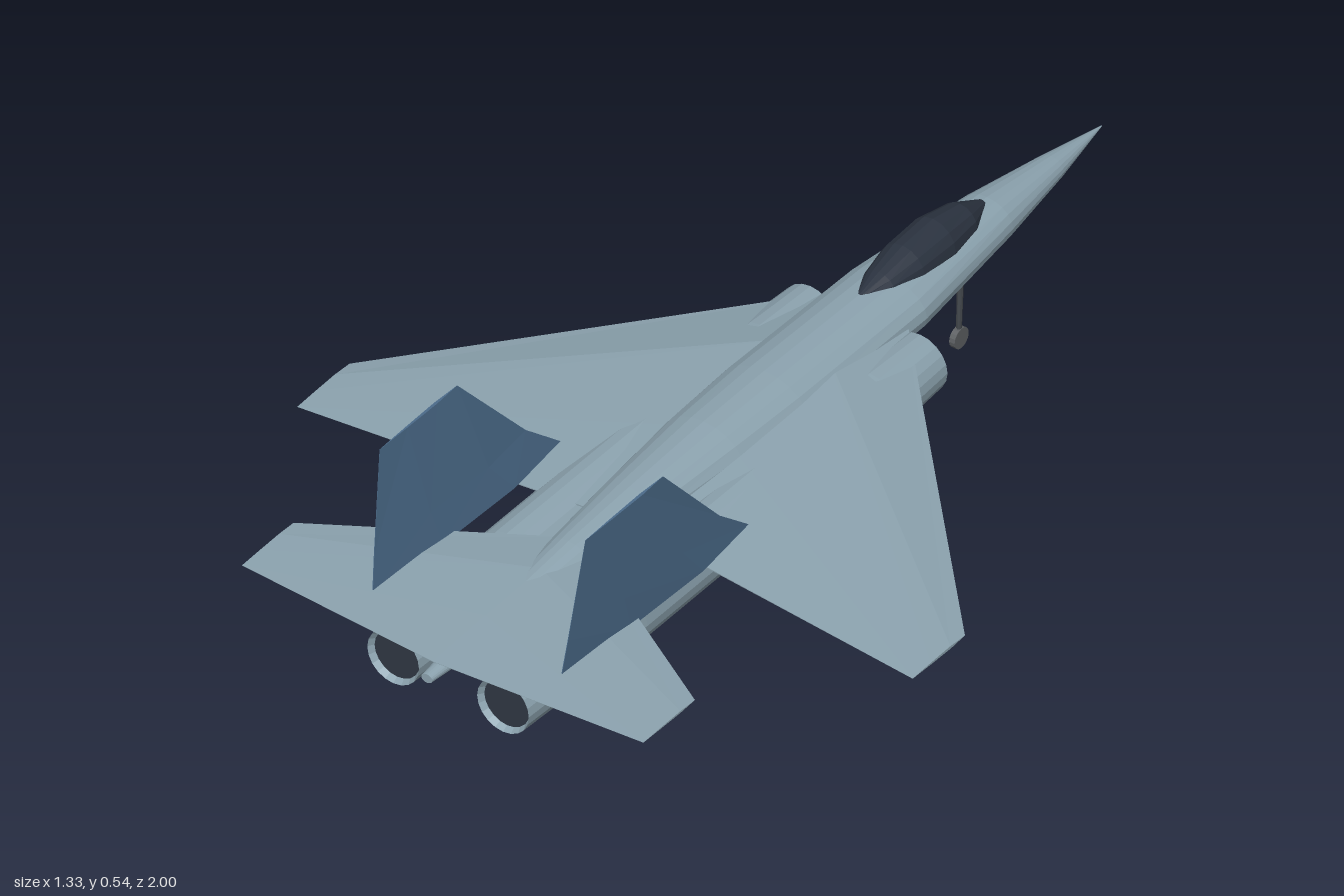
import * as THREE from 'three';

const mat = (name, color, extra = {}) => {
  const m = new THREE.MeshStandardMaterial({ color, flatShading: true, ...extra });
  m.name = name;
  return m;
};

// Closed skin through equal-length rings of points, always facing outward.
function loft(rings) {
  const tris = [];
  const n = rings[0].length;
  for (let i = 0; i + 1 < rings.length; i++) {
    for (let j = 0; j < n; j++) {
      const k = (j + 1) % n;
      const [a, b, c, d] = [rings[i][j], rings[i][k], rings[i + 1][k], rings[i + 1][j]];
      tris.push([a, b, c], [a, c, d]);
    }
  }
  const cap = (ring, flip) => {
    const mid = ring.reduce((s, p) => s.add(p), new THREE.Vector3()).divideScalar(n);
    ring.forEach((p, j) => {
      const q = ring[(j + 1) % n];
      tris.push(flip ? [mid, q, p] : [mid, p, q]);
    });
  };
  cap(rings[0], true);
  cap(rings[rings.length - 1], false);
  const volume = tris.reduce((s, [a, b, c]) => s + a.dot(b.clone().cross(c)), 0);
  if (volume < 0) tris.forEach((t) => t.reverse());
  const g = new THREE.BufferGeometry().setFromPoints(tris.flat());
  g.computeVertexNormals();
  return g;
}

// Elliptical ring across the z axis.
function ellipse(z, halfW, cy, halfH, sides) {
  return Array.from({ length: sides }, (_, i) => {
    const a = (i / sides) * Math.PI * 2;
    return new THREE.Vector3(Math.sin(a) * halfW, cy + Math.cos(a) * halfH, z);
  });
}

// Thin aerofoil outline: [fraction of chord, offset in half thicknesses].
const FOIL = [[0, 0], [0.28, 1], [0.65, 0.65], [1, 0.05], [1, -0.05], [0.65, -0.65], [0.28, -1]];

export function createModel() {
  const root = new THREE.Group();
  root.name = 'jetAircraft';
  const hull = mat('hullGrey', 0x8ca3af);
  const skin = mat('engineGrey', 0x8ca3af, { side: THREE.DoubleSide });
  const finBlue = mat('finBlue', 0x4b6b8a);
  const glass = mat('canopyDark', 0x2b3340);
  const dark = mat('nozzleDark', 0x2f3743, { side: THREE.DoubleSide });
  const metal = mat('strutGrey', 0x43474c);
  const tyre = mat('wheelGrey', 0x5c5f62);

  const add = (name, geometry, material, x = 0, y = 0, z = 0) => {
    const m = new THREE.Mesh(geometry, material);
    m.name = name;
    m.position.set(x, y, z);
    root.add(m);
    return m;
  };

  // Fuselage: z, half width, centre height, half height
  const body = [
    [-1, 0.001, 0.23, 0.001], [-0.85, 0.028, 0.232, 0.024], [-0.66, 0.057, 0.237, 0.045],
    [-0.36, 0.09, 0.239, 0.058], [0, 0.093, 0.242, 0.062], [0.18, 0.086, 0.243, 0.06],
    [0.4, 0.068, 0.244, 0.05], [0.58, 0.05, 0.245, 0.04], [1, 0.012, 0.24, 0.009],
  ];
  add('fuselage', loft(body.map((s) => ellipse(...s, 20))), hull);

  // Canopy
  const canopy = [
    [-0.645, 0.01, 0.277, 0.008], [-0.58, 0.038, 0.278, 0.038], [-0.5, 0.05, 0.279, 0.053],
    [-0.41, 0.048, 0.282, 0.046], [-0.34, 0.034, 0.285, 0.028], [-0.28, 0.008, 0.288, 0.01],
  ];
  add('canopy', loft(canopy.map((s) => ellipse(...s, 16))), glass);

  for (const side of [1, -1]) {
    const label = side > 0 ? 'left' : 'right';

    // Flat surfaces: x, y, leading z, trailing z, half thickness
    const panel = (stations) => loft(stations.map(([x, y, z0, z1, t]) =>
      FOIL.map(([f, h]) => new THREE.Vector3(side * x, y + h * t, z0 + f * (z1 - z0)))));
    add(label + 'Wing', panel([
      [0.03, 0.251, -0.37, 0.445, 0.025], [0.667, 0.215, 0.317, 0.472, 0.003],
    ]), hull);
    add(label + 'Tailplane', panel([
      [0, 0.266, 0.537, 0.982, 0.009], [0.435, 0.265, 0.8, 0.953, 0.002],
    ]), hull);

    // Upright fin, same stations with the thickness across x
    const fin = [
      [0.204, 0.257, 0.325, 0.882, 0.016], [0.21, 0.337, 0.42, 0.869, 0.012],
      [0.223, 0.542, 0.605, 0.835, 0.003],
    ];
    add(label + 'Fin', loft(fin.map(([x, y, z0, z1, t]) =>
      FOIL.map(([f, h]) => new THREE.Vector3(side * (x + h * t), y, z0 + f * (z1 - z0))))), finBlue);

    // Engine pod with open intake and a lipped exhaust
    const profile = [[0.059, -0.3], [0.066, -0.15], [0.067, 0.6], [0.056, 0.937], [0.049, 0.925]];
    const pod = new THREE.LatheGeometry(profile.map((p) => new THREE.Vector2(...p)), 20);
    pod.rotateX(Math.PI / 2);
    add(label + 'Engine', pod, skin, side * 0.119, 0.194, 0);
    add(label + 'Exhaust', new THREE.CircleGeometry(0.052, 20), dark, side * 0.119, 0.194, 0.922);
    add(label + 'IntakeFan', new THREE.CircleGeometry(0.064, 20), dark, side * 0.119, 0.194, 0.1);
  }

  // Landing gear: name, x, z, wheel radius, wheel width, strut top
  const gear = [
    ['nose', 0, -0.577, 0.021, 0.012, 0.2],
    ['left', 0.148, 0.073, 0.031, 0.018, 0.16],
    ['right', -0.148, 0.073, 0.031, 0.018, 0.16],
  ];
  for (const [name, x, z, r, w, top] of gear) {
    const length = top - r;
    const strut = add(name + 'Strut', new THREE.CylinderGeometry(0.007, 0.005, length, 8), metal,
      x, r + length / 2, z - 0.003);
    strut.rotation.x = -0.04;
    add(name + 'Wheel', new THREE.CylinderGeometry(r, r, w, 16).rotateZ(Math.PI / 2), tyre, x, r + 0.004, z);
  }
  return root;
}
